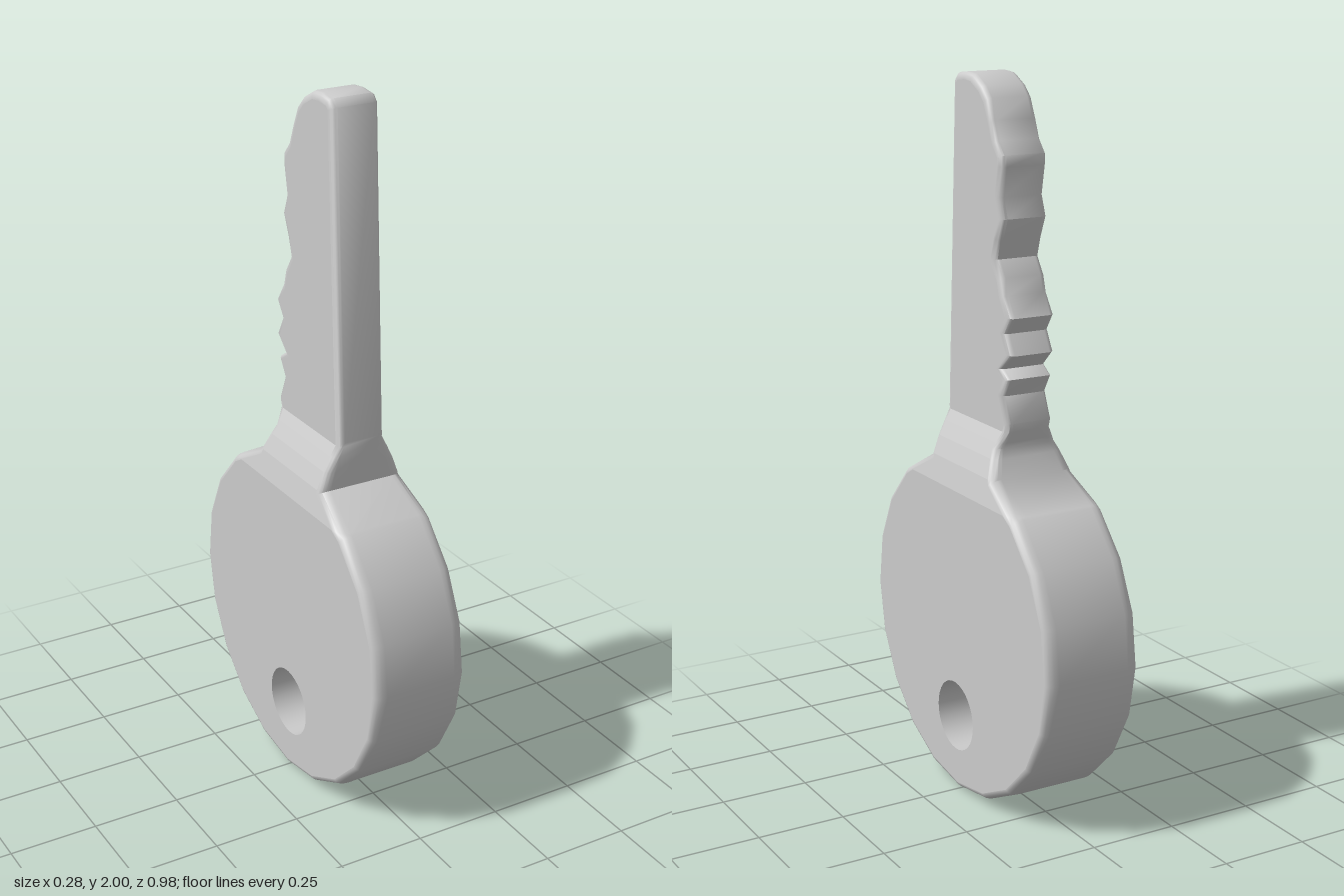
import * as THREE from 'three';
import { toCreasedNormals } from 'three/addons/utils/BufferGeometryUtils.js';

const HALF = 0.14;                       // half thickness of the bow
const HOLE = { z: 0.01, y: 0.22, r: 0.1 };
// Half thickness by height: thick bow, curved shoulder, thin blade
const TAPER = [[0.88, 0.14], [0.95, 0.125], [1.0, 0.106], [1.04, 0.086], [1.07, 0.07]];

// Blade edge (z, y), from the straight front edge over the tip and down the teeth
const BLADE = [
  [0.175, 1.08], [0.133, 1.975], [0.115, 1.995], [0.07, 2.0], [0.03, 1.997], [-0.02, 1.97],
  [-0.05, 1.94], [-0.075, 1.885], [-0.095, 1.835], [-0.125, 1.8], [-0.125, 1.77],
  [-0.11, 1.69], [-0.13, 1.635], [-0.105, 1.575], [-0.09, 1.525], [-0.12, 1.48],
  [-0.133, 1.435], [-0.17, 1.38], [-0.14, 1.335], [-0.17, 1.28], [-0.125, 1.238],
  [-0.16, 1.215], [-0.13, 1.165], [-0.16, 1.095], [-0.14, 1.025],
];

// Round bow followed by the blade, with the keyring hole
function keyShape() {
  const pts = [];
  const n = 9, sweep = THREE.MathUtils.degToRad(159.5);
  for (let i = -n; i <= n; i++) {
    const a = (i / n) * sweep;
    pts.push(new THREE.Vector2(0.489 * Math.sin(a), 0.49 - 0.49 * Math.cos(a)));
  }
  for (const [z, y] of BLADE) pts.push(new THREE.Vector2(z, y));
  const shape = new THREE.Shape(pts);
  const ring = [];
  for (let i = 0; i < 32; i++) {
    const a = (-i / 32) * Math.PI * 2;
    ring.push(new THREE.Vector2(HOLE.z + HOLE.r * Math.cos(a), HOLE.y + HOLE.r * Math.sin(a)));
  }
  shape.holes.push(new THREE.Path(ring));
  return shape;
}

// Cut every triangle along the plane y = h so the shoulder can bend there
function sliceAt(tris, h) {
  const out = [];
  for (const tri of tris) {
    for (const side of [1, -1]) {
      const poly = [];
      tri.forEach((a, i) => {
        const b = tri[(i + 1) % 3];
        const da = (a.y - h) * side, db = (b.y - h) * side;
        if (da >= 0) poly.push(a);
        if ((da > 0 && db < 0) || (da < 0 && db > 0)) {
          // same end order for both neighbours keeps the seam closed
          const p = a.y < b.y ? a.clone().lerp(b, (h - a.y) / (b.y - a.y)) : b.clone().lerp(a, (h - b.y) / (a.y - b.y));
          p.y = h;
          poly.push(p);
        }
      });
      if (poly.every((p) => p.y === h)) continue;
      for (let i = 1; i + 1 < poly.length; i++) out.push([poly[0], poly[i], poly[i + 1]]);
    }
  }
  return out;
}

function halfThickness(y) {
  if (y <= TAPER[0][0]) return HALF;
  for (let i = 1; i < TAPER.length; i++) {
    const [y0, t0] = TAPER[i - 1], [y1, t1] = TAPER[i];
    if (y <= y1) return t0 + ((t1 - t0) * (y - y0)) / (y1 - y0);
  }
  return TAPER[TAPER.length - 1][1];
}

function keyGeometry() {
  const bevel = 0.035, inset = 0.02;
  const depth = 2 * (HALF - bevel);
  const solid = new THREE.ExtrudeGeometry(keyShape(), {
    depth, bevelEnabled: true, bevelThickness: bevel, bevelSize: inset, bevelOffset: -inset, bevelSegments: 4,
  });
  solid.translate(0, 0, -depth / 2).rotateY(-Math.PI / 2);

  const pos = solid.attributes.position;
  let tris = [];
  for (let i = 0; i < pos.count; i += 3) {
    tris.push([0, 1, 2].map((k) => {
      const p = new THREE.Vector3().fromBufferAttribute(pos, i + k);
      // keep the hole a straight, sharp-edged bore
      const dz = p.z - HOLE.z, dy = p.y - HOLE.y, d = Math.hypot(dz, dy);
      if (d < 0.15) {
        p.z = HOLE.z + (dz * HOLE.r) / d;
        p.y = HOLE.y + (dy * HOLE.r) / d;
      }
      return p;
    }));
  }
  for (const [h] of TAPER) tris = sliceAt(tris, h);

  // Thin the shoulder and blade, and remember which triangles are the flat sides
  const flat = tris.map((t) => t.every((p) => Math.abs(p.x) > HALF - 1e-4));
  const points = tris.flat().map((p) => new THREE.Vector3((p.x * halfThickness(p.y)) / HALF, p.y, p.z));
  const geo = toCreasedNormals(new THREE.BufferGeometry().setFromPoints(points), 0.75);

  // Flat sides keep their true face normals
  const normal = geo.attributes.normal, face = new THREE.Triangle(), n = new THREE.Vector3();
  flat.forEach((isFlat, i) => {
    if (!isFlat) return;
    face.set(points[3 * i], points[3 * i + 1], points[3 * i + 2]).getNormal(n);
    for (let k = 0; k < 3; k++) normal.setXYZ(3 * i + k, n.x, n.y, n.z);
  });
  return geo;
}

export function createModel() {
  const group = new THREE.Group();
  group.name = 'key';
  const body = new THREE.Mesh(keyGeometry(), new THREE.MeshStandardMaterial({ color: 0xcccccc }));
  body.name = 'bowAndBlade';
  group.add(body);
  return group;
}
